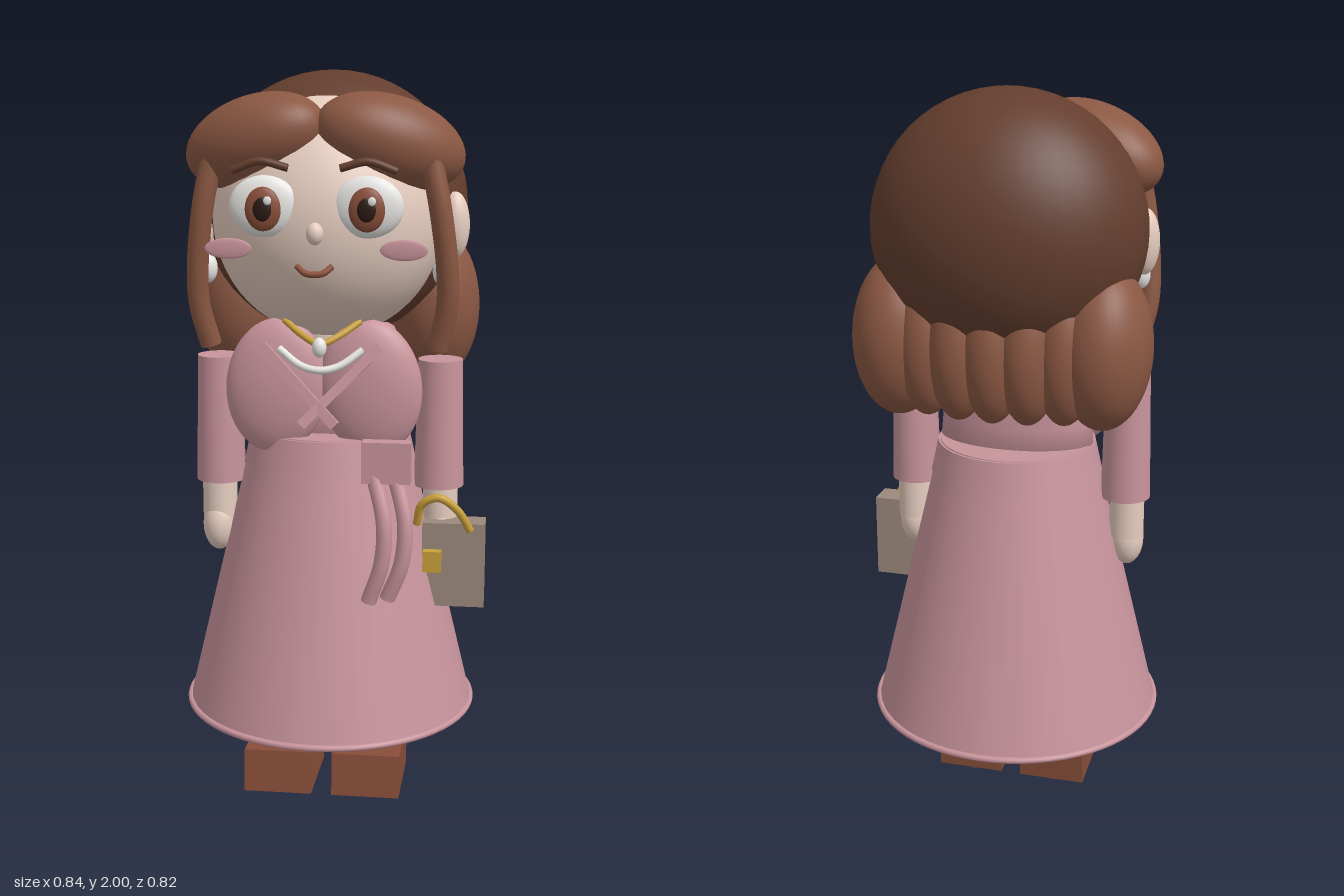
import * as THREE from 'three';

export function createModel() {
  const mat = (name, color) => {
    const m = new THREE.MeshStandardMaterial({ color });
    m.name = name;
    return m;
  };
  const hairDark = mat('dark brown hair', 0x643e2e);
  const hair = mat('brown hair', 0x8b5843);
  const skin = mat('skin', 0xe6cdbf);
  const pink = mat('rose fabric', 0xc8949c);
  const brown = mat('brown leather', 0x8a4f3a);
  const gold = mat('gold', 0xc9a03a);
  const taupe = mat('taupe bag', 0x9c897c);
  const white = mat('pearl white', 0xecebe8);
  const dark = mat('dark pupil', 0x2b1912);

  const root = new THREE.Group();
  root.name = 'doll';
  // The figure's own middle sits slightly right of centre because of the bag
  const body = new THREE.Group();
  body.name = 'figure';
  body.position.x = -0.015;
  root.add(body);

  const add = (name, geo, material, p = [0, 0, 0], rot = [0, 0, 0]) => {
    const m = new THREE.Mesh(geo, material);
    m.name = name;
    m.position.set(...p);
    m.rotation.set(...rot);
    body.add(m);
    return m;
  };
  const blob = (name, material, p, r, rot) =>
    add(name, new THREE.SphereGeometry(1, 40, 28).scale(...r), material, p, rot);
  const box = (name, material, p, size, rot) =>
    add(name, new THREE.BoxGeometry(...size), material, p, rot);
  const cyl = (name, material, p, rTop, rBottom, h) =>
    add(name, new THREE.CylinderGeometry(rTop, rBottom, h, 40), material, p);
  // Round cord through points, closed with flat ends
  const cord = (name, material, pts, r) => {
    const v = pts.map((q) => new THREE.Vector3(...q));
    const curve = new THREE.CatmullRomCurve3(v);
    add(name, new THREE.TubeGeometry(curve, 28, r, 12), material);
    [0, 1].forEach((t) => {
      const cap = add(name + 'End', new THREE.CircleGeometry(r, 12), material, curve.getPoint(t).toArray());
      const dir = curve.getTangent(t).multiplyScalar(t ? 1 : -1);
      cap.quaternion.setFromUnitVectors(new THREE.Vector3(0, 0, 1), dir);
    });
  };

  // Head and back hair
  blob('head', skin, [0, 1.62, 0.03], [0.31, 0.32, 0.29]);
  blob('backHair', hairDark, [0, 1.64, -0.085], [0.365, 0.36, 0.295]);
  blob('nose', skin, [0, 1.6, 0.32], [0.022, 0.028, 0.022]);
  cord('mouth', brown, [[-0.045, 1.52, 0.325], [-0.02, 1.503, 0.338], [0.02, 1.503, 0.338], [0.045, 1.52, 0.325]], 0.008);
  cyl('neck', skin, [0, 1.33, 0.02], 0.08, 0.09, 0.16);

  // Row of curls around the nape
  for (let i = -3; i <= 3; i++) {
    const a = i / 3;
    const outer = Math.abs(i) === 3;
    const r = outer ? [0.125, 0.215, 0.15] : [0.085, 0.2, 0.11];
    blob('napeCurl', hair, [0.275 * a, 1.36, -0.225 + 0.065 * a * a], r, [0.08, 0, 0]);
  }

  // Skirt, hem, belt and torso
  cyl('skirt', pink, [0, 0.65, 0], 0.21, 0.4, 0.79);
  add('hem', new THREE.TorusGeometry(0.4, 0.009, 10, 64), pink, [0, 0.258, 0], [Math.PI / 2, 0, 0]);
  cyl('belt', pink, [0, 0.997, 0], 0.217, 0.237, 0.09);
  const profile = [[0, 0.98], [0.2, 0.98], [0.19, 1.1], [0.2, 1.22], [0.16, 1.32], [0.09, 1.37], [0, 1.38]];
  add('torso', new THREE.LatheGeometry(profile.map((q) => new THREE.Vector2(...q)), 40).scale(1.1, 1, 0.62), pink);

  // Everything that is mirrored left and right
  for (const s of [-1, 1]) {
    blob('fringe', hair, [s * 0.175, 1.82, 0.157], [0.202, 0.116, 0.122], [0, s * 0.35, -s * 0.3]);
    cord('sideLock', hair, [
      [s * 0.28, 1.78, 0.2], [s * 0.305, 1.66, 0.205], [s * 0.325, 1.5, 0.19],
      [s * 0.325, 1.4, 0.175], [s * 0.3, 1.29, 0.155]], 0.029);
    blob('ear', skin, [s * 0.335, 1.6, 0.035], [0.04, 0.088, 0.04]);
    cord('earringHook', gold, [[s * 0.31, 1.57, 0.115], [s * 0.315, 1.545, 0.12], [s * 0.31, 1.52, 0.13]], 0.007);
    blob('earringPearl', white, [s * 0.31, 1.49, 0.132], [0.026, 0.04, 0.026]);

    // Face details
    const ex = s * 0.13;
    blob('eyeWhite', white, [ex, 1.665, 0.295], [0.09, 0.077, 0.03]);
    blob('iris', brown, [ex, 1.66, 0.318], [0.046, 0.055, 0.016]);
    blob('pupil', dark, [ex, 1.66, 0.33], [0.024, 0.03, 0.008]);
    blob('eyeGlint', white, [ex + 0.014, 1.682, 0.336], [0.01, 0.011, 0.004]);
    cord('eyebrow', hairDark, [[s * 0.205, 1.755, 0.325], [s * 0.135, 1.778, 0.333], [s * 0.065, 1.762, 0.33]], 0.01);
    blob('cheek', pink, [s * 0.222, 1.56, 0.305], [0.06, 0.026, 0.005]);

    // Bodice, sleeves and hands
    blob('bodicePanel', pink, [s * 0.125, 1.18, 0.148], [0.137, 0.183, 0.055], [0, 0, s * 0.1]);
    cyl('sleeve', pink, [s * 0.303, 1.065, 0.027], 0.06, 0.068, 0.35);
    cyl('wrist', skin, [s * 0.308, 0.84, 0.027], 0.048, 0.048, 0.13);
    blob('hand', skin, [s * 0.31, 0.76, 0.035], [0.045, 0.075, 0.05]);
    const top = new THREE.Vector3(s * 0.155, 1.3, 0.215);
    const low = new THREE.Vector3(-s * 0.045, 1.1, 0.27);
    const lace = box('crossedLace', pink, top.clone().add(low).multiplyScalar(0.5).toArray(), [0.026, top.distanceTo(low), 0.02]);
    lace.quaternion.setFromUnitVectors(new THREE.Vector3(0, 1, 0), top.sub(low).normalize());

    // Legs and shoes
    cyl('leg', skin, [s * 0.122, 0.2, 0.025], 0.064, 0.064, 0.2);
    box('shoe', brown, [s * 0.122, 0.087, 0.073], [0.187, 0.12, 0.29], [-0.08, 0, 0]);
    cyl('heel', brown, [s * 0.122, 0.02, -0.015], 0.03, 0.03, 0.04);
  }

  // Necklaces
  cord('necklace', gold, [[-0.1, 1.36, 0.17], [-0.045, 1.325, 0.21], [0, 1.308, 0.232], [0.045, 1.325, 0.21], [0.1, 1.36, 0.17]], 0.009);
  blob('pendant', white, [0, 1.3, 0.238], [0.019, 0.026, 0.019]);
  cord('pearlStrand', white, [[-0.11, 1.29, 0.205], [-0.05, 1.25, 0.228], [0, 1.24, 0.238], [0.05, 1.25, 0.228], [0.11, 1.29, 0.205]], 0.01);

  // Sash knot with hanging tails
  box('sashKnot', pink, [0.178, 1.005, 0.255], [0.128, 0.11, 0.042]);
  cord('sashTail', pink, [[0.145, 0.97, 0.255], [0.175, 0.85, 0.29], [0.17, 0.74, 0.292], [0.135, 0.63, 0.28]], 0.021);
  cord('sashTail', pink, [[0.2, 0.97, 0.25], [0.23, 0.85, 0.285], [0.222, 0.74, 0.29], [0.185, 0.64, 0.28]], 0.021);

  // Handbag
  box('bag', taupe, [0.35, 0.685, 0.076], [0.17, 0.235, 0.078]);
  box('bagClasp', gold, [0.293, 0.7, 0.122], [0.05, 0.058, 0.04]);
  cord('bagHandle', gold, [[0.25, 0.8, 0.115], [0.265, 0.86, 0.132], [0.31, 0.88, 0.138], [0.36, 0.845, 0.13], [0.395, 0.785, 0.115]], 0.011);

  return root;
}
